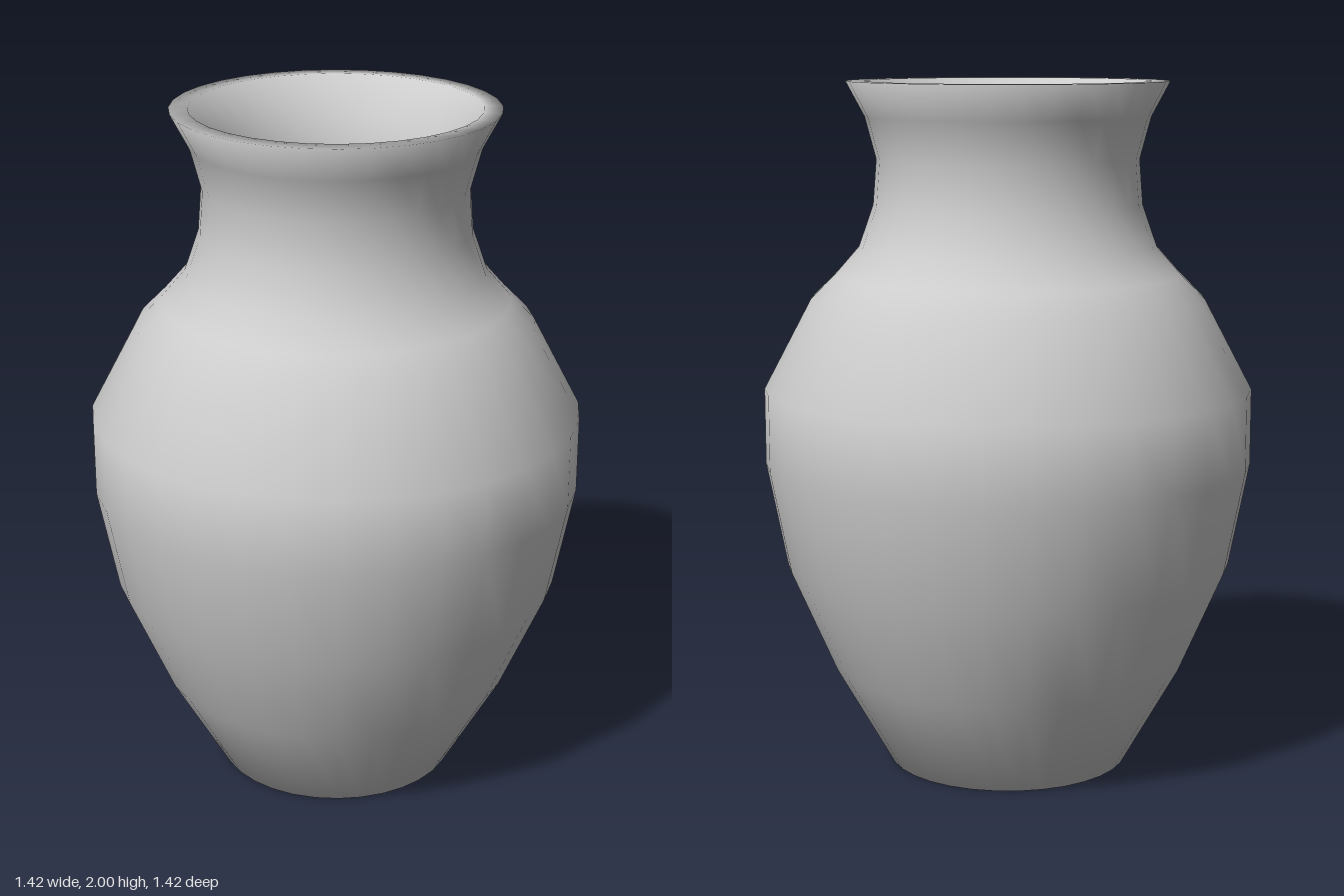
import * as THREE from 'three';

export function createModel() {
  const group = new THREE.Group();
  group.name = 'vase';
  const clay = new THREE.MeshStandardMaterial({ color: 0xcccccc });
  clay.name = 'pale grey clay';

  // Closed profile: base centre, up the outside, over the lip, down the inside
  const profile = [
    [0, 0], [0.35, 0], [0.52, 0.3], [0.65, 0.6], [0.708, 0.9], [0.708, 1.12],
    [0.57, 1.38], [0.5, 1.45], [0.43, 1.53], [0.388, 1.65], [0.378, 1.78],
    [0.41, 1.9], [0.463, 2],                              // outer lip
    [0.41, 2], [0.345, 1.89], [0.305, 1.78], [0.31, 1.64],
    [0.36, 1.5], [0.44, 1.4], [0.51, 1.33], [0.635, 1.1], [0.635, 0.91],
    [0.58, 0.62], [0.45, 0.33], [0.31, 0.08], [0, 0.07],  // inner floor
  ].map(([r, y]) => new THREE.Vector2(r, y));

  const body = new THREE.Mesh(new THREE.LatheGeometry(profile, 32), clay);
  body.name = 'vaseBody';
  group.add(body);
  return group;
}
